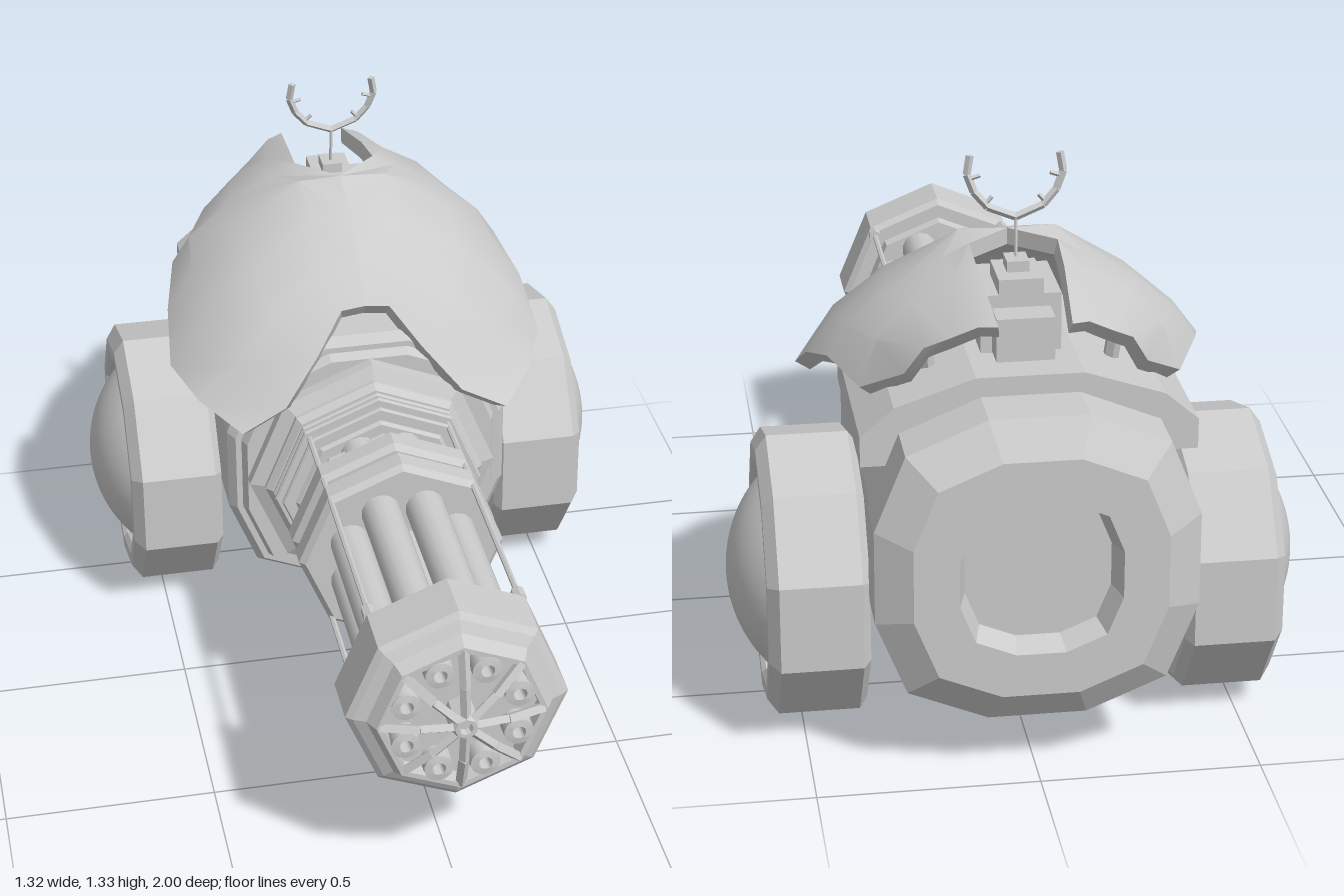
import * as THREE from 'three';
import { toCreasedNormals } from 'three/addons/utils/BufferGeometryUtils.js';

const flat = new THREE.MeshStandardMaterial({ color: 0xcccccc, flatShading: true });
const smooth = new THREE.MeshStandardMaterial({ color: 0xcccccc });
const V = (x, y, z) => new THREE.Vector3(x, y, z);

function geometryFrom(triangles) {
  const g = new THREE.BufferGeometry().setFromPoints(triangles);
  g.computeVertexNormals();
  return g;
}

// Regular polygon of unit radius
const ngon = (n, start = 0) => Array.from({ length: n }, (_, i) => {
  const a = start + (i / n) * Math.PI * 2;
  return [Math.cos(a), Math.sin(a)];
});
const OCT = ngon(8);
const DEC = ngon(10, -Math.PI / 2);
// Twelve-sided rounded square, used for the hull
const HULL = [[0.36, -0.11], [0.36, 0.11], [0.29, 0.285], [0.11, 0.36], [-0.11, 0.36], [-0.29, 0.285],
  [-0.36, 0.11], [-0.36, -0.11], [-0.29, -0.285], [-0.11, -0.36], [0.11, -0.36], [0.29, -0.285]];

// Loft a counter-clockwise outline through [z, scale] sections, front to back
function loft(outline, sections) {
  const tris = [], n = outline.length;
  for (let j = 0; j < sections.length - 1; j++) {
    const [z0, s0] = sections[j], [z1, s1] = sections[j + 1];
    for (let i = 0; i < n; i++) {
      const p = outline[i], q = outline[(i + 1) % n];
      const a = V(p[0] * s0, p[1] * s0, z0), b = V(q[0] * s0, q[1] * s0, z0);
      const c = V(q[0] * s1, q[1] * s1, z1), d = V(p[0] * s1, p[1] * s1, z1);
      if (s1 > 0) tris.push(a, d, c);
      if (s0 > 0) tris.push(a, c, b);
    }
  }
  return geometryFrom(tris);
}

// Closed ring block with bevelled edges
const block = (front, back, r, bevel) => loft(OCT, [[front, 0], [front, r - bevel], [front - bevel, r],
  [back + bevel, r], [back, r - bevel], [back, 0]]);

// Half of the domed armour: rows run front to back, columns from the middle to the rim
const SHELL = [
  [[0, 0.925, -0.15], [0.06, 0.92, -0.145], [0.13, 0.83, -0.09], [0.22, 0.73, -0.03], [0.33, 0.675, -0.02]],
  [[0, 1.0, -0.22], [0.1, 0.99, -0.22], [0.22, 0.91, -0.17], [0.33, 0.81, -0.14], [0.42, 0.71, -0.14]],
  [[0, 1.08, -0.35], [0.1, 1.07, -0.34], [0.26, 0.98, -0.3], [0.38, 0.88, -0.28], [0.47, 0.74, -0.27]],
  [[0, 1.12, -0.47], [0.11, 1.12, -0.46], [0.27, 1.02, -0.45], [0.39, 0.91, -0.43], [0.455, 0.82, -0.41]],
  [[0.1, 1.12, -0.56], [0.16, 1.09, -0.56], [0.28, 1.02, -0.56], [0.375, 0.94, -0.56], [0.42, 0.87, -0.56]],
  [[0.095, 1.1, -0.68], [0.15, 1.08, -0.68], [0.24, 1.03, -0.68], [0.32, 0.95, -0.68], [0.36, 0.84, -0.68]],
  [[0.08, 1.045, -0.88], [0.12, 1.04, -0.86], [0.18, 1.0, -0.82], [0.23, 0.97, -0.79], [0.27, 0.9, -0.76]],
];

function shellHalf(side) {
  const outer = SHELL.map(row => row.map(([x, y, z]) => V(x * side, y, z)));
  const core = V(0, 0.5, -0.45);
  const inner = outer.map(row => row.map(p => {
    const d = core.clone().sub(p).setLength(0.04);
    if (p.x === 0) d.x = 0;
    return p.clone().add(d);
  }));
  const tris = [], R = outer.length - 1, C = outer[0].length - 1;
  const quad = (a, b, c, d) => tris.push(...(side > 0 ? [a, b, c, a, c, d] : [a, c, b, a, d, c]));
  for (let r = 0; r < R; r++) {
    for (let c = 0; c < C; c++) {
      quad(outer[r][c], outer[r][c + 1], outer[r + 1][c + 1], outer[r + 1][c]);
      quad(inner[r][c], inner[r + 1][c], inner[r + 1][c + 1], inner[r][c + 1]);
    }
    quad(outer[r][C], inner[r][C], inner[r + 1][C], outer[r + 1][C]);
    if (r > 2) quad(outer[r][0], outer[r + 1][0], inner[r + 1][0], inner[r][0]);
  }
  for (let c = 0; c < C; c++) {
    quad(outer[0][c], inner[0][c], inner[0][c + 1], outer[0][c + 1]);
    quad(outer[R][c], outer[R][c + 1], inner[R][c + 1], inner[R][c]);
  }
  return toCreasedNormals(geometryFrom(tris), 0.6);
}

export function createModel() {
  const model = new THREE.Group();
  model.name = 'gunPod';

  const add = (name, geo, parent = model, mat = flat) => {
    const m = new THREE.Mesh(geo, mat);
    m.name = name;
    parent.add(m);
    return m;
  };
  const group = (name, x, y, z) => {
    const g = new THREE.Group();
    g.name = name;
    g.position.set(x, y, z);
    model.add(g);
    return g;
  };
  // Straight bar between two points
  const bar = (name, a, b, r, parent, sides = 4) => {
    const m = add(name, new THREE.CylinderGeometry(r, r, a.distanceTo(b), sides), parent);
    m.position.copy(a).lerp(b, 0.5);
    m.quaternion.setFromUnitVectors(V(0, 1, 0), b.clone().sub(a).normalize());
    return m;
  };

  // Hull with stepped nose and a recessed rear panel
  const hull = group('hull', 0, 0.5, 0);
  add('hullBody', loft(HULL, [[-0.09, 0], [-0.09, 0.86], [-0.115, 0.89], [-0.115, 0.93], [-0.14, 0.98],
    [-0.81, 0.98]]), hull);
  add('rearBlock', loft(HULL, [[-0.79, 0.9], [-0.82, 1], [-0.945, 1], [-1, 0.78], [-1, 0.5], [-0.94, 0.45],
    [-0.94, 0]]), hull);
  add('noseStep', loft(OCT, [[-0.02, 0], [-0.02, 0.26], [-0.035, 0.275], [-0.045, 0.275], [-0.06, 0.31],
    [-0.13, 0.31], [-0.15, 0.34]]), hull);

  // Saddle plate over the upper half of the hull
  const saddleShape = new THREE.Shape([[-0.375, 0.21], [0.375, 0.21], [0.375, 0.28], [0.3, 0.345], [0.12, 0.405],
    [-0.12, 0.405], [-0.3, 0.345], [-0.375, 0.28]].map(p => new THREE.Vector2(...p)));
  const saddle = add('saddlePlate', new THREE.ExtrudeGeometry(saddleShape, { depth: 0.5, bevelEnabled: false }), hull);
  saddle.position.z = -0.82;

  // Side pods with domed caps
  for (const side of [1, -1]) {
    const pod = group(side > 0 ? 'leftPod' : 'rightPod', 0, 0.335, -0.53);
    pod.rotation.y = side * Math.PI / 2;
    add('podRim', loft(DEC, [[0.545, 0], [0.545, 0.25], [0.575, 0.258], [0.585, 0.27], [0.585, 0.3],
      [0.56, 0.335], [0.375, 0.335], [0.357, 0.31], [0.357, 0]]), pod);
    const cap = new THREE.SphereGeometry(0.318, 32, 12, 0, Math.PI * 2, 0, 0.88).rotateX(Math.PI / 2);
    add('podDome', cap, pod, smooth).position.z = 0.342;
    bar('podAxle', V(0, 0.05, 0.3), V(0, 0.05, 0.4), 0.14, pod, 10);
  }

  // Collar discs, clamps and muzzle housing
  const gun = group('gun', 0, 0.5, 0);
  add('collarCore', block(0.05, -0.04, 0.215, 0.01), gun);
  for (const [z, r] of [[0.075, 0.19], [0.042, 0.245], [0.02, 0.26], [-0.002, 0.26]]) {
    add('collarDisc', block(z, z - 0.013, r, 0.004), gun);
  }
  for (const z of [0.31, 0.218]) add('barrelClamp', block(z, z - 0.075, 0.25, 0.014), gun);
  add('muzzleHousing', loft(OCT, [[0.925, 0], [0.925, 0.178], [0.962, 0.182], [0.962, 0.195], [0.93, 0.212],
    [0.917, 0.24], [0.905, 0.255], [0.78, 0.255], [0.768, 0.24], [0.768, 0.205], [0.74, 0.2], [0.735, 0]]), gun);

  // Eight barrels with bored ends, and the spokes between them
  const barrelProfile = [[0.048, 0.02], [0.046, 0.74], [0.036, 0.9], [0.034, 0.965], [0.016, 0.968], [0.014, 0.93],
    [0, 0.93]].map(p => new THREE.Vector2(...p));
  const barrelGeo = toCreasedNormals(new THREE.LatheGeometry(barrelProfile, 14).rotateX(Math.PI / 2), 0.6);
  for (let i = 0; i < 8; i++) {
    const a = (i + 0.5) * Math.PI / 4, s = i * Math.PI / 4;
    add('barrel', barrelGeo, gun, smooth).position.set(0.139 * Math.cos(a), 0.139 * Math.sin(a), 0);
    const at = (r, z) => V(r * Math.cos(s), r * Math.sin(s), z);
    bar('spoke', at(0.186, 0.955), at(0.1, 0.98), 0.013, gun);
    bar('spoke', at(0.1, 0.98), at(0.02, 0.988), 0.012, gun);
  }
  add('muzzleHub', loft(OCT, [[0.985, 0], [0.985, 0.012], [1, 0.016], [1, 0.026], [0.985, 0.036], [0.92, 0.036]]), gun);
  add('centreShaft', new THREE.CylinderGeometry(0.07, 0.07, 0.75, 12).rotateX(Math.PI / 2), gun).position.z = 0.39;

  // Four tie rods around the barrels
  for (const x of [-0.172, 0.172]) for (const y of [-0.168, 0.168]) {
    bar('tieRod', V(x, y, 0), V(x, y, 0.8), 0.007, gun, 6);
    bar('rodSocket', V(x, y, 0.74), V(x, y, 0.775), 0.016, gun, 6);
  }

  // Domed armour and its supports
  for (const side of [1, -1]) {
    add(side > 0 ? 'leftArmour' : 'rightArmour', shellHalf(side), model, smooth);
    bar('armourStrut', V(side * 0.25, 0.8, -0.4), V(side * 0.34, 0.92, -0.42), 0.018, model, 6);
    bar('armourStrut', V(side * 0.2, 0.82, -0.65), V(side * 0.22, 1.0, -0.68), 0.018, model, 6);
  }

  // Antenna mount inside the armour notch
  const box = (name, w, h, d, y, z) => add(name, new THREE.BoxGeometry(w, h, d)).position.set(0, y, z);
  box('mountColumn', 0.18, 0.2, 0.2, 0.94, -0.58);
  box('mountStep', 0.13, 0.1, 0.08, 0.96, -0.71);
  box('mountBlock', 0.1, 0.04, 0.13, 1.055, -0.615);
  box('mountSocket', 0.05, 0.03, 0.06, 1.085, -0.605);

  // Mast with an open hoop and inner pegs
  const antenna = group('antenna', 0, 1.09, -0.602);
  antenna.rotation.x = 0.1;
  bar('mast', V(0, 0, 0), V(0, 0.1, 0), 0.004, antenna, 6);
  const hoop = [[0, 0.1], [0.062, 0.125], [0.092, 0.16], [0.107, 0.2], [0.1, 0.242]];
  const pegs = [[[0.068, 0.13], [0.052, 0.148]], [[0.1, 0.19], [0.078, 0.197]]];
  for (const side of [1, -1]) {
    for (let i = 0; i < 4; i++) {
      bar('hoop', V(side * hoop[i][0], hoop[i][1], 0), V(side * hoop[i + 1][0], hoop[i + 1][1], 0), 0.009, antenna);
    }
    for (const [p, q] of pegs) bar('hoopPeg', V(side * p[0], p[1], 0), V(side * q[0], q[1], 0), 0.005, antenna);
  }

  return model;
}
